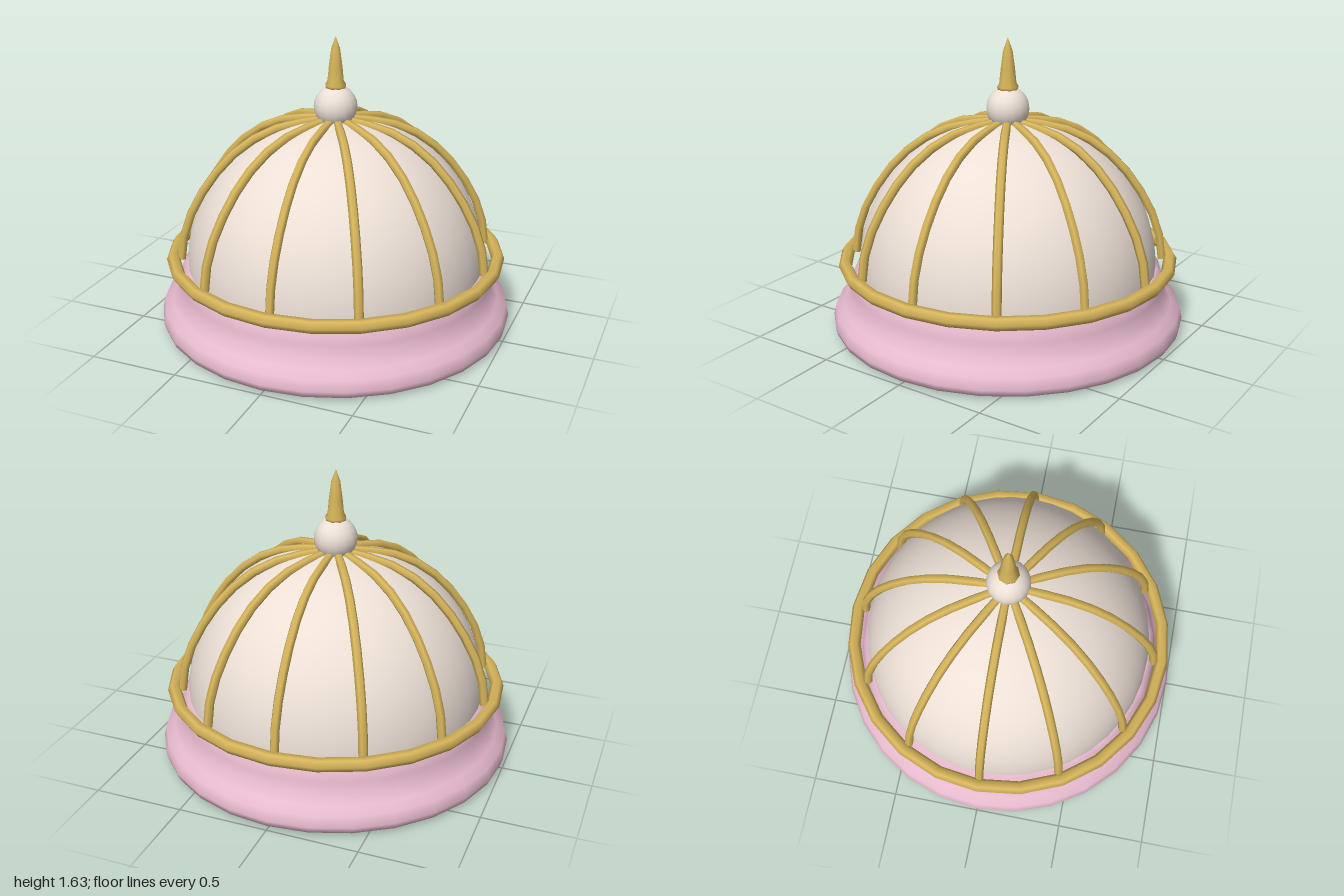
import * as THREE from 'three';

const material = (color) => new THREE.MeshStandardMaterial({ color });
const cream = material(0xece0d6);
const gold = material(0xd6b45a);
const pink = material(0xe6b9cd);
pink.side = THREE.DoubleSide;

const v2 = (points) => points.map(([x, y]) => new THREE.Vector2(x, y));

function addMesh(parent, name, geometry, mat) {
  const mesh = new THREE.Mesh(geometry, mat);
  mesh.name = name;
  parent.add(mesh);
  return mesh;
}

export function createModel() {
  const model = new THREE.Group();
  model.name = 'dome';

  // Flared base with a flat underside and a stepped top rim
  const foot = [[0.95, 0.01], [0.99, 0.025], [1, 0.06], [0.985, 0.12], [0.935, 0.15],
    [0.9, 0.2], [0.885, 0.26], [0.875, 0.325], [0.84, 0.35], [0.76, 0.355]];
  addMesh(model, 'base', new THREE.LatheGeometry(v2(foot), 28), pink);
  const underside = addMesh(model, 'baseUnderside', new THREE.CircleGeometry(0.952, 28), pink);
  underside.rotation.x = Math.PI / 2;
  underside.position.y = 0.005;

  // Smooth dome
  const dome = addMesh(model, 'domeShell',
    new THREE.SphereGeometry(0.84, 40, 20, 0, Math.PI * 2, 0, Math.PI / 2), cream);
  dome.position.y = 0.345;

  // Ring floating around the foot of the dome
  const ring = addMesh(model, 'ring', new THREE.TorusGeometry(0.922, 0.037, 6, 24), gold);
  ring.rotation.x = Math.PI / 2;
  ring.position.y = 0.39;

  // Twelve ribs following the dome
  const ribPoints = [[0.875, 0.39], [0.855, 0.53], [0.81, 0.66], [0.745, 0.78], [0.65, 0.91],
    [0.5, 1.05], [0.31, 1.14], [0.05, 1.18]].map(([x, y]) => new THREE.Vector3(x, y, 0));
  const ribGeometry = new THREE.TubeGeometry(
    new THREE.CatmullRomCurve3(ribPoints), 9, 0.025, 6);
  const ribs = new THREE.Group();
  ribs.name = 'ribs';
  for (let i = 0; i < 12; i++) {
    addMesh(ribs, 'rib', ribGeometry, gold).rotation.y = (i * Math.PI) / 6;
  }
  model.add(ribs);

  // Ball and spike on top
  const ball = addMesh(model, 'finialBall', new THREE.SphereGeometry(0.12, 16, 12), cream);
  ball.position.y = 1.25;
  const spike = [[0, 1.345], [0.055, 1.35], [0.06, 1.37], [0.048, 1.39], [0.04, 1.47],
    [0.026, 1.57], [0, 1.64]];
  addMesh(model, 'finialSpike', new THREE.LatheGeometry(v2(spike), 8), gold);

  // Stand on the ground
  model.children.forEach((part) => { part.position.y -= 0.005; });
  return model;
}
